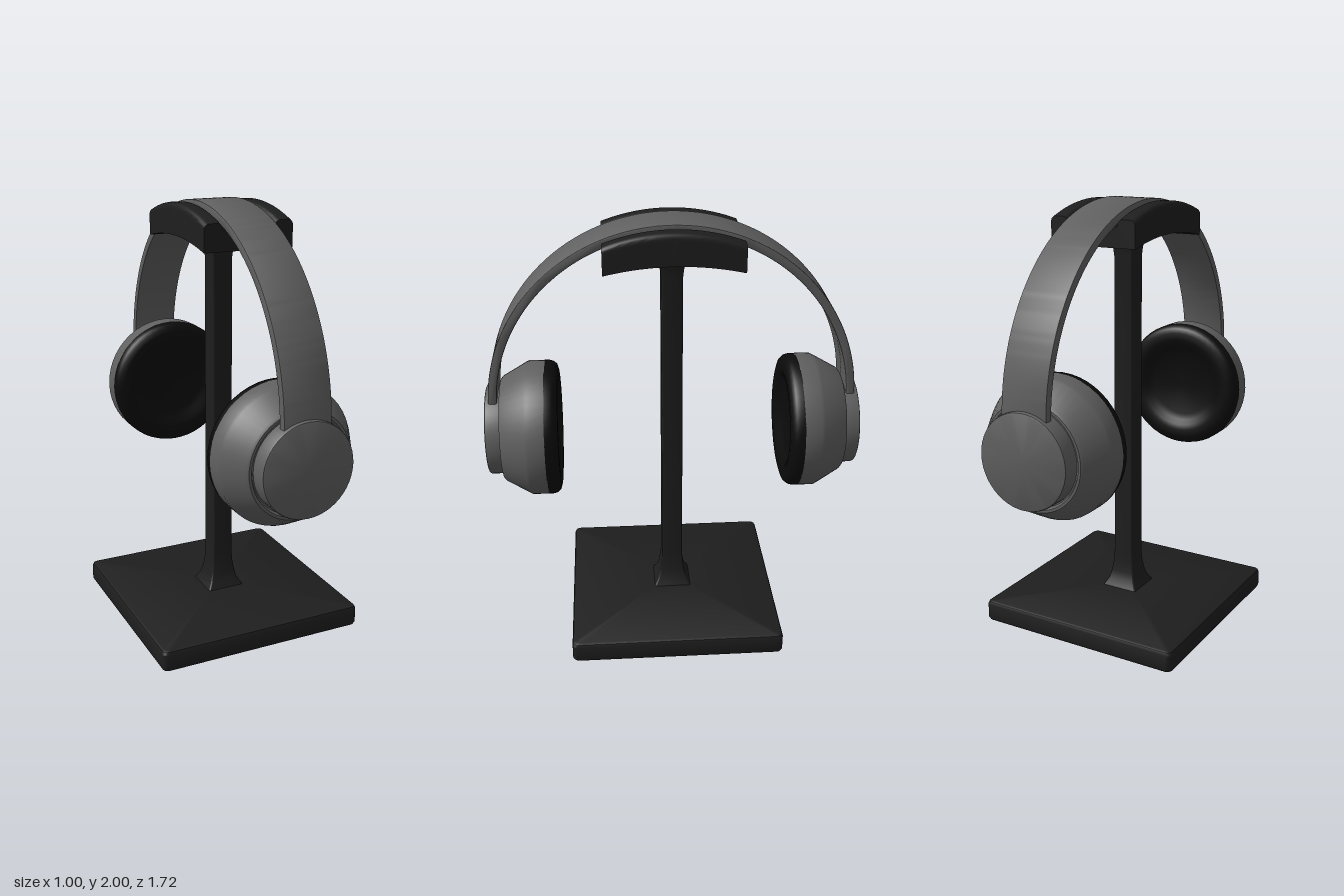
import * as THREE from 'three';
import { toCreasedNormals } from 'three/addons/utils/BufferGeometryUtils.js';

const BAND_R = 0.84, BAND_Y = 1.16, BAND_T = 0.04, CUP_Y = 1.005;

const grey = new THREE.MeshStandardMaterial({ color: 0x606060 });
const dark = new THREE.MeshStandardMaterial({ color: 0x1e1e1e });
const black = new THREE.MeshStandardMaterial({ color: 0x0b0b0b });

function part(name, geometry, material, crease = 0.5) {
  const mesh = new THREE.Mesh(toCreasedNormals(geometry, crease), material);
  mesh.name = name;
  return mesh;
}

// Stacks rounded squares, each row being [half width, height, corner radius]
function squareLoft(rows) {
  const pos = [], index = [], n = 20;
  for (const [half, y, r] of rows) {
    for (let i = 0; i < n; i++) {
      const corner = Math.floor(i / 5);
      const a = (corner + (i % 5) / 4) * Math.PI / 2;
      const mid = (corner + 0.5) * Math.PI / 2;
      pos.push(
        Math.sign(Math.cos(mid)) * (half - r) + Math.cos(a) * r, y,
        Math.sign(Math.sin(mid)) * (half - r) + Math.sin(a) * r);
    }
  }
  const last = (rows.length - 1) * n, low = rows.length * n, high = low + 1;
  pos.push(0, rows[0][1], 0, 0, rows[rows.length - 1][1], 0);
  for (let i = 0; i < n; i++) {
    const j = (i + 1) % n;
    for (let k = 0; k < last; k += n) {
      index.push(k + i, k + n + i, k + j, k + j, k + n + i, k + n + j);
    }
    index.push(low, i, j, high, last + j, last + i);
  }
  const g = new THREE.BufferGeometry();
  g.setAttribute('position', new THREE.Float32BufferAttribute(pos, 3));
  g.setIndex(index);
  return g;
}

// Turned part whose axis runs along z; points are [radius, z]
function turned(points) {
  const g = new THREE.LatheGeometry(points.map(([r, z]) => new THREE.Vector2(r, z)), 48);
  return g.rotateX(Math.PI / 2);
}

// Arched cradle with a channel for the band
function saddleGeometry() {
  const s = new THREE.Shape();
  s.moveTo(-0.21, -0.15);
  s.lineTo(0.21, -0.15);
  s.lineTo(0.21, -0.04);
  s.quadraticCurveTo(0.21, -0.008, 0.18, -0.008);
  s.lineTo(0.15, -0.008);
  s.quadraticCurveTo(0.125, -0.008, 0.122, -0.045);
  s.lineTo(-0.122, -0.045);
  s.quadraticCurveTo(-0.125, -0.008, -0.15, -0.008);
  s.lineTo(-0.18, -0.008);
  s.quadraticCurveTo(-0.21, -0.008, -0.21, -0.04);
  s.closePath();
  const g = new THREE.ExtrudeGeometry(s, { depth: 0.61, steps: 24, bevelEnabled: false, curveSegments: 6 });
  g.translate(0, 0, -0.305);
  const p = g.attributes.position;
  for (let i = 0; i < p.count; i++) {
    const y = p.getY(i), z = p.getZ(i), f = 1 + y / 0.15;
    const topDrop = Math.sqrt(BAND_R ** 2 - z * z) - BAND_R;
    const bottomDrop = -0.035 * (z / 0.305) ** 2;
    p.setY(i, 2 + y + f * topDrop + (1 - f) * bottomDrop);
  }
  return g;
}

// Half-ring headband with short straight ends
function bandGeometry() {
  const s = new THREE.Shape(), inner = BAND_R - BAND_T, drop = -0.08, w = 0.22, b = 0.006;
  s.moveTo(BAND_R, drop);
  s.lineTo(BAND_R, 0);
  s.absarc(0, 0, BAND_R, 0, Math.PI, false);
  s.lineTo(-BAND_R, drop);
  s.lineTo(-inner, drop);
  s.lineTo(-inner, 0);
  s.absarc(0, 0, inner, Math.PI, 0, true);
  s.lineTo(inner, drop);
  s.closePath();
  const g = new THREE.ExtrudeGeometry(s, {
    depth: w - 2 * b, curveSegments: 64,
    bevelThickness: b, bevelSize: b, bevelOffset: -b, bevelSegments: 2,
  });
  return g.translate(0, 0, b - w / 2).rotateY(Math.PI / 2).translate(0, BAND_Y, 0);
}

function earCup(name) {
  const cup = new THREE.Group();
  cup.name = name;
  // Soft pad with a shallow hollow
  cup.add(part('earPad', turned([
    [0, 0.56], [0.16, 0.56], [0.19, 0.55], [0.215, 0.532], [0.24, 0.525], [0.275, 0.525],
    [0.298, 0.532], [0.31, 0.547], [0.315, 0.565], [0.315, 0.585], [0, 0.585],
  ]), black, 0.7));
  // Tapered shell with a groove around the outer cap
  cup.add(part('cupShell', turned([
    [0, 0.583], [0.315, 0.583], [0.315, 0.66], [0.308, 0.674], [0.248, 0.78],
    [0.238, 0.789], [0.226, 0.789], [0.218, 0.775], [0, 0.775],
  ]), grey));
  cup.add(part('outerCap', turned([
    [0, 0.77], [0.212, 0.77], [0.212, 0.848], [0.209, 0.855], [0.202, 0.858], [0, 0.858],
  ]), grey));
  cup.position.y = CUP_Y;
  return cup;
}

export function createModel() {
  const model = new THREE.Group();
  model.name = 'headphonesOnStand';

  // Stand
  model.add(part('base', squareLoft([
    [0.488, 0, 0.02], [0.497, 0.004, 0.025], [0.502, 0.015, 0.025], [0.502, 0.085, 0.025],
    [0.497, 0.097, 0.025], [0.488, 0.102, 0.02], [0.09, 0.115, 0.01],
  ]), dark));
  model.add(part('post', squareLoft([
    [0.092, 0.108, 0.008], [0.086, 0.122, 0.008], [0.07, 0.15, 0.008], [0.06, 0.19, 0.008],
    [0.053, 0.24, 0.008], [0.05, 0.3, 0.008], [0.048, 1.74, 0.008], [0.052, 1.78, 0.008],
    [0.06, 1.82, 0.008], [0.064, 1.87, 0.008],
  ]), dark));
  model.add(part('saddle', saddleGeometry(), dark));

  // Headphones
  model.add(part('headband', bandGeometry(), grey));
  const front = earCup('frontEarCup');
  const back = earCup('backEarCup');
  back.rotation.y = Math.PI;
  model.add(front, back);
  return model;
}
